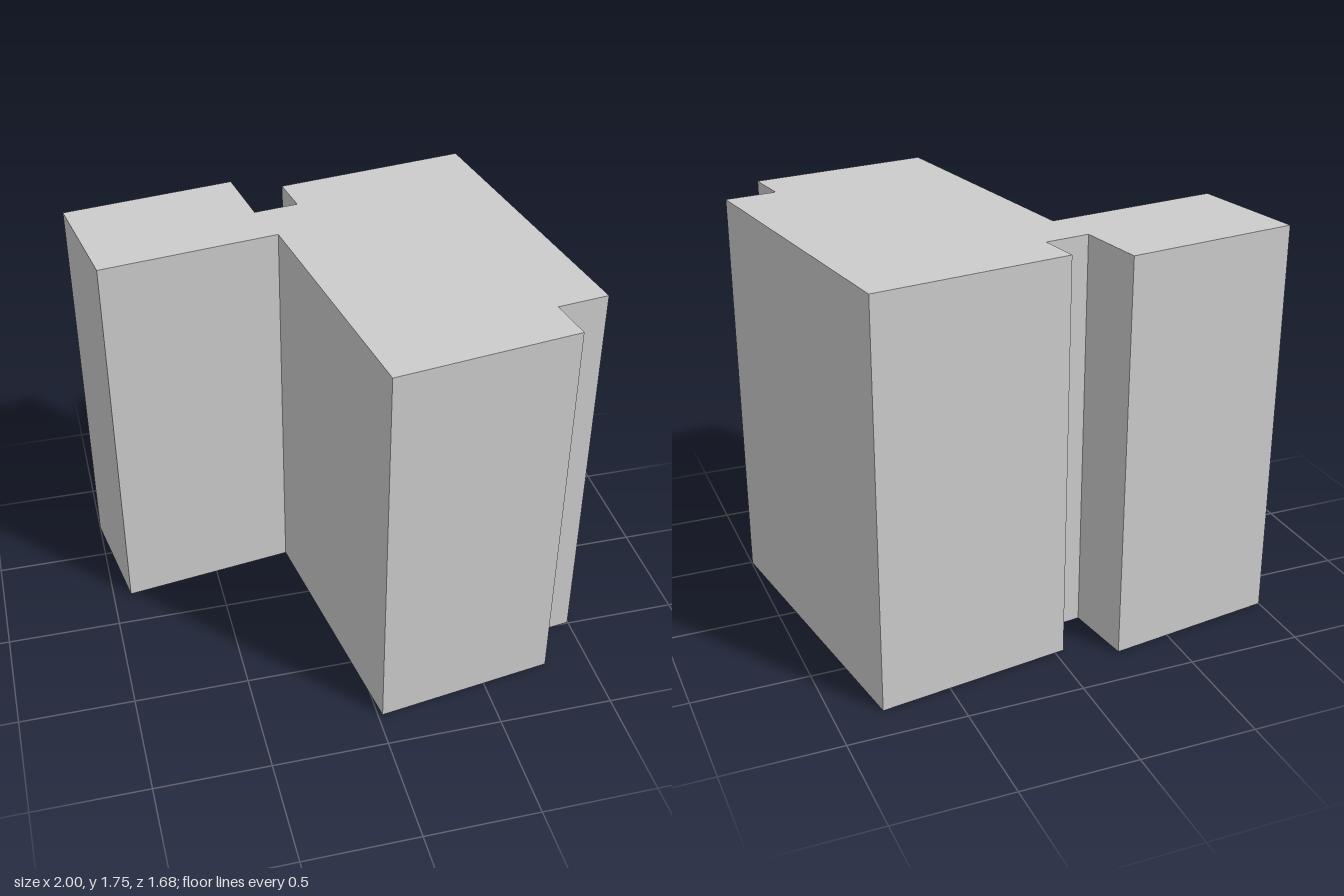
import * as THREE from 'three';
import { mergeGeometries } from 'three/addons/utils/BufferGeometryUtils.js';

const HEIGHT = 1.75;

// Floor plan corners as [x, z], clockwise seen from above
const PLAN = [
  [-1, -0.705], [-0.25, -0.815], [-0.206, -0.51], [-0.013, -0.538],
  [-0.04, -0.717], [0.8, -0.84], [0.997, 0.495], [0.775, 0.525],
  [0.804, 0.721], [0.02, 0.838], [-0.15, -0.297], [-0.92, -0.185],
];

// One upright panel between two corners, facing outward
function wallPanel([ax, az], [bx, bz]) {
  const dx = bx - ax, dz = bz - az;
  return new THREE.PlaneGeometry(Math.hypot(dx, dz), HEIGHT)
    .rotateY(Math.atan2(dz, -dx))
    .translate((ax + bx) / 2, HEIGHT / 2, (az + bz) / 2);
}

export function createModel() {
  const model = new THREE.Group();
  model.name = 'building';
  const material = new THREE.MeshStandardMaterial({
    color: 0xcccccc, flatShading: true, side: THREE.DoubleSide,
  });

  // Outer walls, an open shell with no floor
  const panels = PLAN.map((corner, i) => wallPanel(corner, PLAN[(i + 1) % PLAN.length]));
  const walls = new THREE.Mesh(mergeGeometries(panels), material);
  walls.name = 'walls';

  // Flat roof closing the top
  const outline = new THREE.Shape(PLAN.map(([x, z]) => new THREE.Vector2(x, -z)));
  const roofGeometry = new THREE.ShapeGeometry(outline).rotateX(-Math.PI / 2).translate(0, HEIGHT, 0);
  const roof = new THREE.Mesh(roofGeometry, material);
  roof.name = 'roof';

  model.add(walls, roof);
  return model;
}
